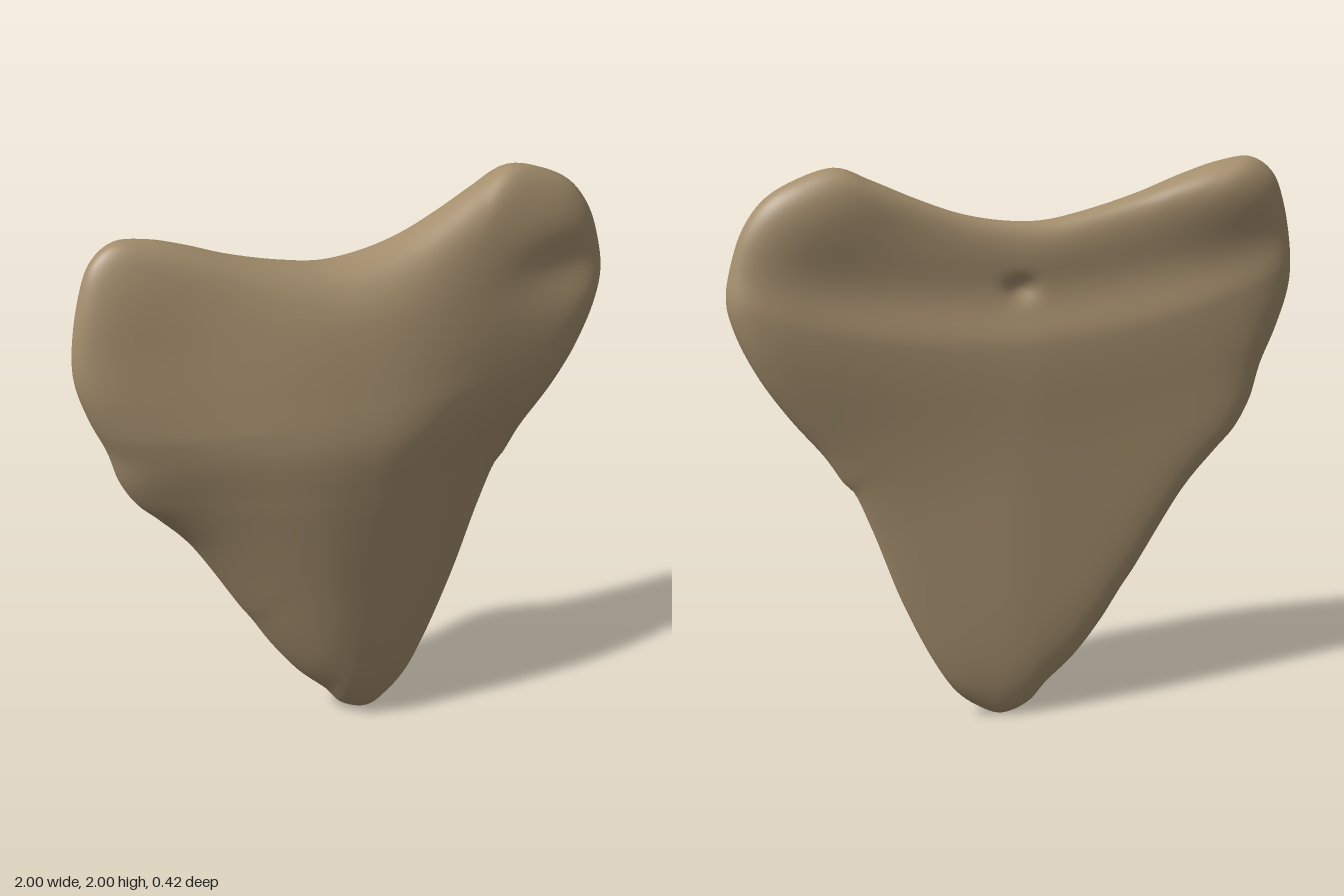
import * as THREE from 'three';

// Rim of the tooth, counter-clockwise from the tip as seen from the front
const RIM = [
  [0.06, 0], [0.14, 0.035], [0.22, 0.1], [0.3, 0.22], [0.42, 0.47], [0.52, 0.74], [0.585, 0.89], [0.615, 0.92],
  [0.68, 1.02], [0.8, 1.17], [0.9, 1.32], [0.97, 1.47], [0.995, 1.58], [0.975, 1.7], [0.93, 1.82],
  [0.86, 1.91], [0.75, 1.97], [0.62, 2], [0.5, 1.95], [0.35, 1.88], [0.2, 1.82], [0.05, 1.785],
  [-0.1, 1.775], [-0.25, 1.8], [-0.45, 1.855], [-0.6, 1.91], [-0.73, 1.947], [-0.84, 1.955],
  [-0.92, 1.9], [-0.97, 1.78], [-1, 1.6], [-0.995, 1.49], [-0.95, 1.35], [-0.89, 1.22], [-0.85, 1.1],
  [-0.79, 1], [-0.72, 0.93], [-0.6, 0.8], [-0.41, 0.5], [-0.375, 0.45], [-0.3, 0.33], [-0.2, 0.2],
  [-0.1, 0.105], [-0.04, 0.035],
];

// Smooth profile sampled at evenly spaced heights from 0 to 2
function profile(values) {
  const step = 2 / (values.length - 1);
  const curve = new THREE.SplineCurve(values.map((v, i) => new THREE.Vector2(i * step, v)));
  return (y) => curve.getPoint(THREE.MathUtils.clamp(y / 2, 0, 1)).y;
}
const bell = (d, w, power = 2) => Math.exp(-(Math.abs(d / w) ** power));

const frontCentre = profile([0, 0.055, 0.095, 0.13, 0.165, 0.195, 0.21, 0.178, 0.128, 0.055, 0]);
const frontSide = profile([-0.06, -0.06, -0.06, -0.055, -0.045, -0.025, 0.015, 0.022, 0.012, 0.008, -0.015]);
const backCentre = profile([-0.145, -0.16, -0.167, -0.17, -0.172, -0.172, -0.168, -0.16, -0.152, -0.15, -0.16]);
const rimCentre = profile([-0.08, -0.1, -0.11, -0.115, -0.115, -0.11, -0.1, -0.09, -0.085, -0.085, -0.09]);

// Bulging front, broader on its right half, with a hollow in the left lobe
function frontDepth(x, y) {
  const dx = x + 0.07 * Math.min(1, y);
  const spread = (dx < 0 ? 0.68 : 0.6) * (0.27 + 0.73 * Math.min(1, y / 1.3));
  const side = frontSide(y) - 0.02 * x;
  const mid = frontCentre(y - 0.12 * x * x);
  return side + (mid - side) * bell(dx, spread, 2.4) - 0.025 * bell(x - 0.85, 0.26) * bell(y - 1.64, 0.1);
}

// Gently keeled blade with a root ridge, a groove above it, full lobes and a small pit
function backDepth(x, y) {
  const root = THREE.MathUtils.smoothstep(y, 0.7, 1.5);
  const above = y - (1.37 + 0.2 * x * x);
  const keel = Math.sqrt(x * x + 0.006) - 0.077;
  const bladeSlope = (x < 0 ? 0.035 : 0.06) * keel;
  const rootSlope = (x < 0 ? 0.055 : -0.04) * keel;
  const lobe = x < 0 ? 0.065 : 0.035;
  return backCentre(y) + THREE.MathUtils.lerp(bladeSlope, rootSlope, root)
    - 0.024 * bell(above, above > 0 ? 0.1 : 0.28)
    + 0.012 * bell(above - 0.19, 0.1) * bell(x, 0.7)
    - lobe * bell(Math.abs(x) - 0.78, 0.3) * bell(y - 1.88, 0.22)
    + 0.025 * bell(x, 0.05) * bell(y - 1.56, 0.04);
}

function rimDepth(x, y) {
  return rimCentre(y) - 0.035 * x * THREE.MathUtils.smoothstep(y, 0.7, 1.4);
}

// Closed shell: rings run from the front middle, over the rim, to the back middle
function toothGeometry(around = 260, rings = 112) {
  const curve = new THREE.CatmullRomCurve3(RIM.map(([x, y]) => new THREE.Vector3(x, y, 0)), true);
  const rim = curve.getSpacedPoints(around);
  const cx = 0.02, cy = 1.2;
  const positions = [cx, cy, frontDepth(cx, cy)];
  for (let j = 1; j < rings; j++) {
    const angle = (j / rings) * Math.PI;
    const s = Math.sin(angle);
    const lift = Math.sqrt(Math.max(0, 1 - s ** 12));
    for (let i = 0; i < around; i++) {
      const x = cx + (rim[i].x - cx) * s;
      const y = cy + (rim[i].y - cy) * s;
      const edge = rimDepth(x, y);
      const face = j <= rings / 2 ? frontDepth(x, y) : backDepth(x, y);
      positions.push(x, y, edge + (face - edge) * lift);
    }
  }
  positions.push(cx, cy, backDepth(cx, cy));

  const last = positions.length / 3 - 1;
  const id = (j, i) => (j === 0 ? 0 : j === rings ? last : 1 + (j - 1) * around + (i % around));
  const index = [];
  for (let j = 0; j < rings; j++) {
    for (let i = 0; i < around; i++) {
      const a = id(j, i), b = id(j + 1, i), c = id(j + 1, i + 1), d = id(j, i + 1);
      if (j < rings - 1) index.push(a, b, c);
      if (j > 0) index.push(a, c, d);
    }
  }
  const geometry = new THREE.BufferGeometry();
  geometry.setAttribute('position', new THREE.Float32BufferAttribute(positions, 3));
  geometry.setIndex(index);
  geometry.computeVertexNormals();
  return geometry;
}

export function createModel() {
  const fossilTan = new THREE.MeshStandardMaterial({ color: 0xa48e6d });
  fossilTan.name = 'fossilTan';
  const tooth = new THREE.Mesh(toothGeometry(), fossilTan);
  tooth.name = 'tooth';
  const group = new THREE.Group();
  group.name = 'fossilTooth';
  group.add(tooth);
  return group;
}
